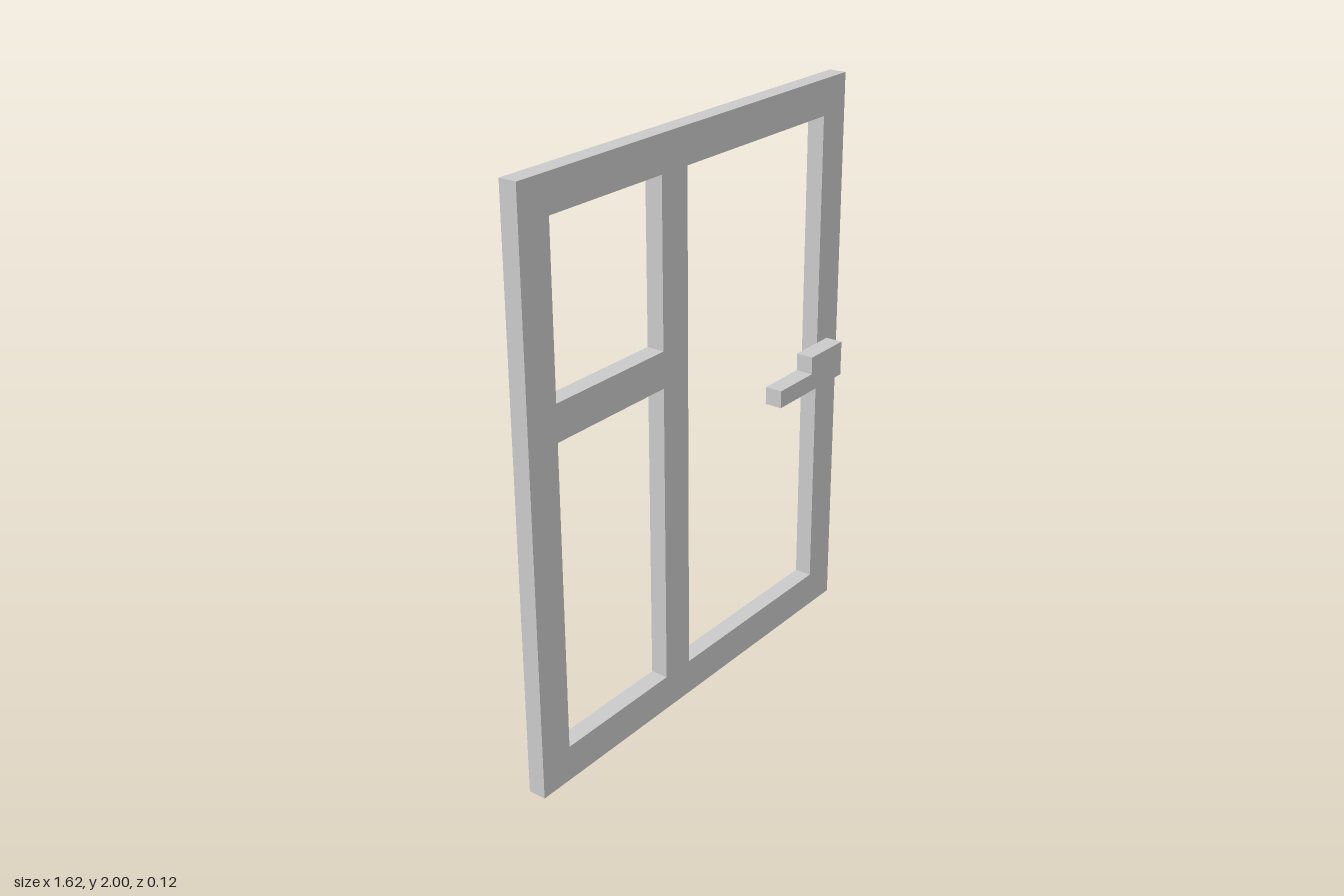
import * as THREE from 'three';

const DEPTH = 0.0625;

// Closed polygon from corner points
const trace = (target, points) => {
  target.setFromPoints(points.map(([x, y]) => new THREE.Vector2(x, y)));
  target.closePath();
  return target;
};

const rect = (x0, y0, x1, y1) => [[x0, y0], [x1, y0], [x1, y1], [x0, y1]];

function slab(name, shape, z, material) {
  const geometry = new THREE.ExtrudeGeometry(shape, { depth: DEPTH, bevelEnabled: false });
  const mesh = new THREE.Mesh(geometry, material);
  mesh.name = name;
  mesh.position.z = z;
  return mesh;
}

export function createModel() {
  const group = new THREE.Group();
  group.name = 'window';
  const material = new THREE.MeshStandardMaterial({ color: 0xcccccc });

  // Frame with three openings: upper and lower left, tall right
  const frame = trace(new THREE.Shape(), rect(-0.8125, 0, 0.8125, 2));
  const openings = [
    [-0.6875, 1.3125, -0.1875, 1.875],
    [-0.6875, 0.125, -0.1875, 1.1875],
    [-0.0625, 0.125, 0.6875, 1.875],
  ];
  for (const o of openings) frame.holes.push(trace(new THREE.Path(), rect(...o).reverse()));
  group.add(slab('windowFrame', frame, -DEPTH, material));

  // Stepped handle on the front face
  const handle = trace(new THREE.Shape(), [
    [0.375, 0.9375], [0.75, 0.9375], [0.75, 1.0625],
    [0.5625, 1.0625], [0.5625, 1], [0.375, 1],
  ]);
  group.add(slab('handle', handle, 0, material));

  return group;
}
